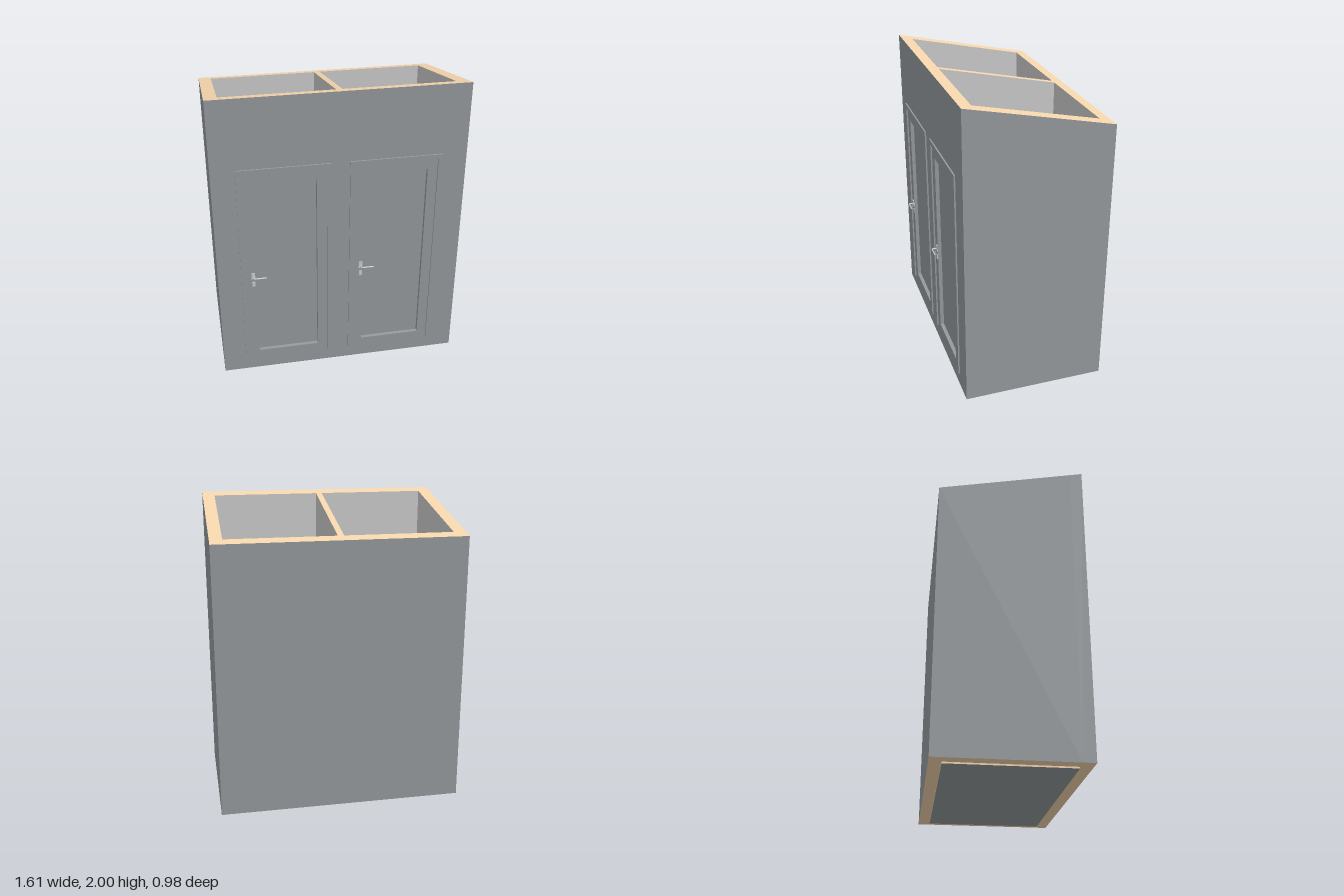
import * as THREE from 'three';
import { RoundedBoxGeometry } from 'three/addons/geometries/RoundedBoxGeometry.js';

const mat = (color) => new THREE.MeshStandardMaterial({ color });
const grey = mat(0xcccccc), paint = mat(0x959a9d), tan = mat(0xf6d6ad), floorTan = mat(0xe4d2b8);

const W = 0.805, BACK = -0.49, FRONT = 0.445, IN_BACK = -0.415, IN_FRONT = 0.365, FLOOR = 0.1;

function add(parent, name, geo, material, x = 0, y = 0, z = 0) {
  const mesh = new THREE.Mesh(geo, material);
  mesh.name = name;
  mesh.position.set(x, y, z);
  parent.add(mesh);
  return mesh;
}

const poly = (pts) => new THREE.Shape(pts.map(([x, y]) => new THREE.Vector2(x, y)));
const rect = (x0, y0, x1, y1) => poly([[x0, y0], [x1, y0], [x1, y1], [x0, y1]]);
const extrude = (shape, depth, curveSegments = 12) =>
  new THREE.ExtrudeGeometry(shape, { depth, bevelEnabled: false, curveSegments });
// Extrudes a plan drawn as (x, -z) upwards
const rise = (shape, height, seg) => extrude(shape, height, seg).rotateX(-Math.PI / 2);

function roundRect(x0, y0, x1, y1, r) {
  const s = new THREE.Shape();
  s.absarc(x1 - r, y1 - r, r, 0, Math.PI / 2);
  s.absarc(x0 + r, y1 - r, r, Math.PI / 2, Math.PI);
  s.absarc(x0 + r, y0 + r, r, Math.PI, Math.PI * 1.5);
  s.absarc(x1 - r, y0 + r, r, Math.PI * 1.5, Math.PI * 2);
  return s;
}

// Slopes the wall tops towards the back
function slopeTop(geo) {
  const p = geo.attributes.position;
  for (let i = 0; i < p.count; i++)
    if (p.getY(i) > 1.7) p.setY(i, 2 - 0.2 * (FRONT - p.getZ(i)) / (FRONT - BACK));
  geo.computeVertexNormals();
  return geo;
}

// Material groups per triangle: 0 cut edge, 1 outer paint, 2 inner face
function paintWalls(geo) {
  const p = geo.attributes.position, n = geo.attributes.normal;
  geo.clearGroups();
  for (let i = 0; i < p.count; i += 3) {
    const mid = (f) => (p[f](i) + p[f](i + 1) + p[f](i + 2)) / 3;
    const x = mid('getX'), z = mid('getZ');
    const outer = Math.abs(x) > W - 0.01 || z > FRONT - 0.01 || z < BACK + 0.01;
    geo.addGroup(i, 3, Math.abs(n.getY(i)) > 0.5 ? 0 : outer ? 1 : 2);
  }
  return geo;
}

// Door with casing, recessed panel and handles on both sides; x is the casing centre
function makeDoor(x) {
  const door = new THREE.Group();
  door.name = 'door';
  door.position.x = x;
  const leaf = rect(-0.267, FLOOR, 0.267, 1.51);
  leaf.holes.push(rect(-0.203, 0.155, 0.203, 1.44));
  add(door, 'doorLeaf', extrude(leaf, FRONT - IN_FRONT), paint, 0, 0, IN_FRONT);
  add(door, 'doorPanel', new THREE.BoxGeometry(0.406, 1.285, 0.03), paint, 0, 0.7975, 0.405);

  const casing = poly([[-0.297, FLOOR], [-0.267, FLOOR], [-0.267, 1.51], [0.267, 1.51],
    [0.267, FLOOR], [0.297, FLOOR], [0.297, 1.54], [-0.297, 1.54]]);
  const lever = new THREE.CurvePath();
  const a = new THREE.Vector3(0, 0, 0), b = new THREE.Vector3(0, 0, 0.03),
    c = new THREE.Vector3(0.01, 0, 0.037), d = new THREE.Vector3(0.08, 0, 0.037);
  lever.add(new THREE.LineCurve3(a, b));
  lever.add(new THREE.QuadraticBezierCurve3(b, new THREE.Vector3(0, 0, 0.037), c));
  lever.add(new THREE.LineCurve3(c, d));
  for (const side of [1, -1]) {
    const z = side > 0 ? FRONT : IN_FRONT;
    add(door, 'casing', extrude(casing, 0.01), paint, 0, 0, side > 0 ? z : z - 0.01);
    const handle = new THREE.Group();
    handle.name = 'handle';
    handle.position.set(-0.219, 0.77, z);
    add(handle, 'rosette', new THREE.BoxGeometry(0.024, 0.045, 0.006), grey, 0, 0.002, side * 0.003);
    add(handle, 'keyPlate', new THREE.BoxGeometry(0.02, 0.035, 0.006), grey, 0, -0.062, side * 0.003);
    add(handle, 'lever', new THREE.TubeGeometry(lever, 24, 0.005, 8), grey).scale.z = side;
    add(handle, 'leverTip', new THREE.SphereGeometry(0.005, 8, 6), grey, 0.08, 0, side * 0.037);
    door.add(handle);
  }
  return door;
}

// D-shaped plan: straight back at z0, rounded front at z1
function dShape(w, z0, z1) {
  const r = w / 2, s = new THREE.Shape();
  s.moveTo(-r, -z0);
  s.lineTo(-r, -z1 + r * 1.15);
  s.absellipse(0, -z1 + r * 1.15, r, r * 1.15, Math.PI, Math.PI * 2);
  s.lineTo(r, -z0);
  return s;
}

function makeToilet(x) {
  const toilet = new THREE.Group();
  toilet.name = 'toilet';
  toilet.position.set(x, FLOOR, 0);
  // Bowl tapers towards the foot
  const bowl = new THREE.ExtrudeGeometry(dShape(0.235, -0.4, 0.01),
    { depth: 0.27, steps: 8, bevelEnabled: false, curveSegments: 24 }).rotateX(-Math.PI / 2);
  const p = bowl.attributes.position;
  for (let i = 0; i < p.count; i++) {
    const k = 0.68 + 0.32 * (p.getY(i) / 0.27) ** 2;
    p.setX(i, p.getX(i) * k);
    p.setZ(i, -0.4 + (p.getZ(i) + 0.4) * k);
  }
  bowl.computeVertexNormals();
  add(toilet, 'bowl', bowl, grey);
  add(toilet, 'seat', rise(dShape(0.245, -0.25, 0.017), 0.015, 24), grey, 0, 0.272, 0);
  add(toilet, 'lid', rise(dShape(0.25, -0.255, 0.02), 0.015, 24), grey, 0, 0.29, 0);
  add(toilet, 'rearDeck', new THREE.BoxGeometry(0.25, 0.03, 0.15), grey, 0, 0.262, -0.335);
  for (const s of [-1, 1])
    add(toilet, 'hinge', new RoundedBoxGeometry(0.05, 0.025, 0.02, 2, 0.006), grey, s * 0.08, 0.287, -0.27);

  const tank = (w, front, r) => {
    const s = new THREE.Shape();
    s.moveTo(-w / 2, -IN_BACK);
    s.lineTo(-w / 2, -front + r);
    s.absarc(-w / 2 + r, -front + r, r, Math.PI, Math.PI * 1.5);
    s.absarc(w / 2 - r, -front + r, r, Math.PI * 1.5, Math.PI * 2);
    s.lineTo(w / 2, -IN_BACK);
    return s;
  };
  add(toilet, 'tank', rise(tank(0.245, -0.31, 0.03), 0.27), grey, 0, 0.277, 0);
  add(toilet, 'tankLid', rise(tank(0.256, -0.305, 0.03), 0.025), grey, 0, 0.547, 0);
  add(toilet, 'flushButton', new THREE.CylinderGeometry(0.017, 0.017, 0.006, 20), grey, 0, 0.574, -0.36);
  return toilet;
}

// Wall-hung basin with tap and a mirror cabinet above; x is the wall face
function makeWashstand(x) {
  const stand = new THREE.Group();
  stand.name = 'washstand';
  stand.position.set(x, FLOOR, 0.105);
  const rim = roundRect(0, -0.165, 0.25, 0.165, 0.015);
  const hollow = roundRect(0.065, -0.138, 0.225, 0.138, 0.03);
  rim.holes.push(hollow);
  add(stand, 'basinRim', rise(rim, 0.09), grey, 0, 0.51, 0);
  add(stand, 'basinFloor', rise(roundRect(0.02, -0.15, 0.235, 0.15, 0.03), 0.02), grey, 0, 0.5, 0);
  add(stand, 'tapBody', new THREE.CylinderGeometry(0.012, 0.014, 0.08, 16), grey, 0.035, 0.64, 0);
  const spout = new THREE.QuadraticBezierCurve3(new THREE.Vector3(0.035, 0.66, 0),
    new THREE.Vector3(0.09, 0.68, 0), new THREE.Vector3(0.105, 0.645, 0));
  add(stand, 'tapSpout', new THREE.TubeGeometry(spout, 12, 0.007, 8), grey);
  add(stand, 'mirrorCabinet', new THREE.BoxGeometry(0.085, 0.42, 0.4), grey, 0.0425, 1.09, 0);
  add(stand, 'mirror', new THREE.BoxGeometry(0.014, 0.42, 0.4), grey, 0.092, 1.09, 0);
  return stand;
}

export function createModel() {
  const model = new THREE.Group();
  model.name = 'toiletBlock';
  const wallMats = [tan, paint, grey];
  const doorX = [-0.358, 0.353];

  // Side, back and dividing walls from one plan
  const plan = poly([[-W, IN_FRONT], [-W, BACK], [W, BACK], [W, IN_FRONT], [0.725, IN_FRONT], [0.725, IN_BACK],
    [0.02, IN_BACK], [0.02, IN_FRONT], [-0.02, IN_FRONT], [-0.02, IN_BACK], [-0.725, IN_BACK], [-0.725, IN_FRONT]]
    .map(([x, z]) => [x, -z]));
  add(model, 'walls', paintWalls(slopeTop(rise(plan, 1.99).translate(0, 0.01, 0))), wallMats);

  // Front wall with door openings
  const front = rect(-W, 0.01, W, 2);
  for (const x of doorX) front.holes.push(rect(x - 0.267, FLOOR, x + 0.267, 1.51));
  add(model, 'frontWall', paintWalls(slopeTop(extrude(front, FRONT - IN_FRONT).translate(0, 0, IN_FRONT))), wallMats);

  // Floor slab, painted underneath
  add(model, 'floor', new THREE.BoxGeometry(1.45, FLOOR, IN_FRONT - IN_BACK),
    [tan, tan, floorTan, paint, tan, tan], 0, FLOOR / 2, (IN_FRONT + IN_BACK) / 2);

  for (const x of doorX) model.add(makeDoor(x));
  for (const x of [-0.258, 0.485]) model.add(makeToilet(x));
  for (const x of [-0.725, 0.02]) model.add(makeWashstand(x));
  return model;
}
